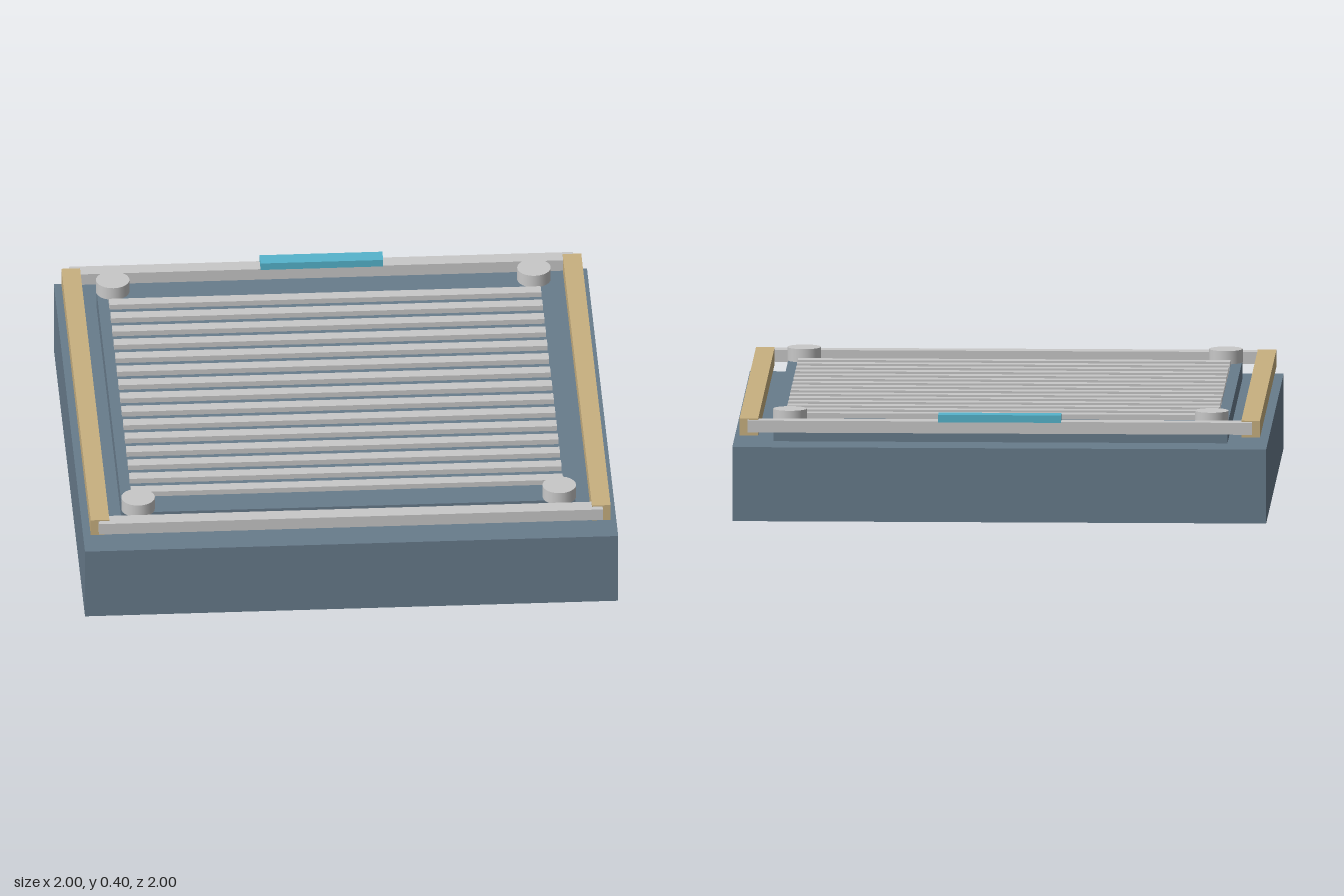
import * as THREE from 'three';

const paint = (name, color) => {
  const m = new THREE.MeshStandardMaterial({ color });
  m.name = name;
  return m;
};

export function createModel() {
  const model = new THREE.Group();
  model.name = 'slattedTray';
  const slate = paint('slate blue', 0x687c8c);
  const grey = paint('light grey', 0xc8c8c8);
  const tan = paint('tan', 0xc8b080);
  const teal = paint('teal', 0x55b4cc);

  const add = (name, geometry, material, x, y, z) => {
    const mesh = new THREE.Mesh(geometry, material);
    mesh.name = name;
    mesh.position.set(x, y, z);
    model.add(mesh);
  };
  // Box given by its size, bottom and top heights, and centre
  const box = (name, material, w, d, y0, y1, x = 0, z = 0) =>
    add(name, new THREE.BoxGeometry(w, y1 - y0, d), material, x, (y0 + y1) / 2, z);

  // Base block and raised bed
  box('base', slate, 2, 2, 0, 0.28);
  box('bed', slate, 1.7, 1.68, 0.28, 0.35);

  // Parallel slats across the bed
  for (let i = -7; i <= 7; i++) box('slat', grey, 1.62, 0.046, 0.345, 0.37, 0, i * 0.1);

  // Raised frame: grey front and back rails, taller tan side rails
  for (const s of [-1, 1]) {
    box(s > 0 ? 'frontRail' : 'backRail', grey, 1.89, 0.06, 0.33, 0.375, 0, s * 0.932);
    box(s > 0 ? 'leftRail' : 'rightRail', tan, 0.07, 1.88, 0.316, 0.38, s * 0.94, 0);
  }

  // Teal tab on the back rail
  box('tab', teal, 0.46, 0.062, 0.372, 0.4, 0, -0.932);

  // Round corner pegs
  for (const x of [-0.79, 0.79])
    for (const z of [-0.812, 0.812])
      add('cornerPeg', new THREE.CylinderGeometry(0.063, 0.063, 0.05, 24), grey, x, 0.375, z);

  return model;
}
